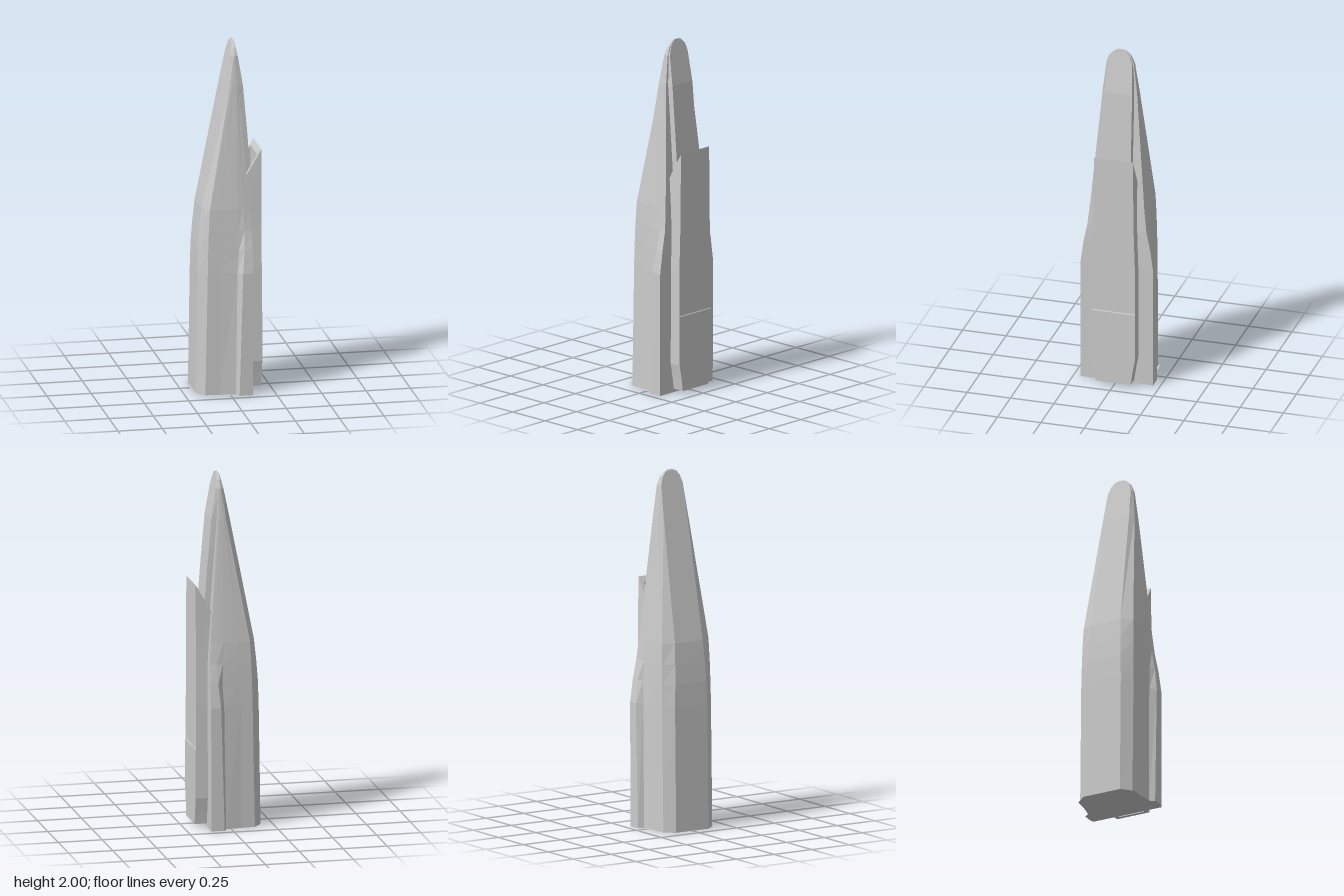
import * as THREE from 'three';

const material = new THREE.MeshStandardMaterial({ color: 0xcccccc, flatShading: true, side: THREE.DoubleSide });

// Mirrors half an outline [x, z] (running towards +x) into a closed ring.
const mirrorRing = (half) => [...half, ...half.slice().reverse().map(([x, z]) => [x, -z])];

// Skins a stack of rings of [x, y, z] points and closes the chosen ends.
function loft(name, rings, capBottom = true) {
  const n = rings[0].length;
  const index = [];
  for (let r = 0; r < rings.length - 1; r++) {
    for (let i = 0; i < n; i++) {
      const j = (i + 1) % n;
      const a = r * n + i, b = r * n + j;
      index.push(a, b, b + n, a, b + n, a + n);
    }
  }
  const cap = (r, flip) => {
    const contour = rings[r].map(([x, , z]) => new THREE.Vector2(x, -z));
    for (const [a, b, c] of THREE.ShapeUtils.triangulateShape(contour, [])) {
      const o = r * n;
      index.push(o + a, o + (flip ? c : b), o + (flip ? b : c));
    }
  };
  cap(rings.length - 1, false);
  if (capBottom) cap(0, true);
  const geometry = new THREE.BufferGeometry();
  geometry.setAttribute('position', new THREE.Float32BufferAttribute(rings.flat(2), 3));
  geometry.setIndex(index);
  const flat = geometry.toNonIndexed();
  flat.computeVertexNormals();
  const mesh = new THREE.Mesh(flat, material);
  mesh.name = name;
  return mesh;
}

// Tapering hull: chamfered front, waisted flanks, flanged back corners.
function createHull() {
  const levels = [
    [0, [[-0.183, 0.107], [-0.138, 0.162], [-0.06, 0.167], [0.03, 0.18], [0.045, 0.21], [0.12, 0.21]]],
    [0.7, [[-0.172, 0.107], [-0.125, 0.162], [-0.06, 0.166], [0.04, 0.176], [0.065, 0.21], [0.122, 0.21]]],
    [0.83, [[-0.168, 0.103], [-0.122, 0.16], [-0.058, 0.164], [0.05, 0.172], [0.077, 0.192], [0.122, 0.192]]],
    [0.94, [[-0.16, 0.098], [-0.118, 0.158], [-0.055, 0.162], [0.045, 0.168], [0.08, 0.172], [0.12, 0.17]]],
    [1.06, [[-0.148, 0.092], [-0.112, 0.154], [-0.05, 0.158], [0.04, 0.161], [0.075, 0.16], [0.113, 0.157]]],
    [1.75, [[-0.014, 0.078], [0.012, 0.099], [0.025, 0.101], [0.04, 0.101], [0.05, 0.101], [0.06, 0.099]]],
    [1.92, [[0.02, 0.071], [0.033, 0.079], [0.037, 0.081], [0.042, 0.081], [0.046, 0.081], [0.053, 0.079]]],
    [1.965, [[0.029, 0.055], [0.036, 0.061], [0.039, 0.062], [0.042, 0.062], [0.046, 0.062], [0.051, 0.061]]],
    [1.99, [[0.034, 0.035], [0.037, 0.038], [0.039, 0.038], [0.042, 0.038], [0.045, 0.038], [0.049, 0.036]]],
    [2.0, [[0.037, 0.016], [0.039, 0.018], [0.04, 0.018], [0.042, 0.018], [0.045, 0.018], [0.048, 0.016]]],
  ];
  return loft('hull', levels.map(([y, half]) => mirrorRing(half).map(([x, z]) => [x, y, z])), false);
}

// Raised panel down the back of the nose.
function createBackPanel() {
  const levels = [
    [0.95, 0.118, 0.088], [1.28, 0.129, 0.088], [1.5, 0.112, 0.087],
    [1.75, 0.09, 0.085], [1.92, 0.062, 0.077], [1.965, 0.054, 0.058], [1.99, 0.05, 0.034],
  ];
  return loft('backPanel', levels.map(([y, x, z]) =>
    mirrorRing([[0.04, z], [x, z - 0.006]]).map(([px, pz]) => [px, y, pz])));
}

// U-shaped channel along the back, with a slanted mouth and tapered foot.
function createChannel() {
  const x0 = 0.1;
  const levels = [
    // height, outer x, half width, rise of the mouth
    [0.02, 0.19, 0.1, 0], [0.1, 0.19, 0.112, 0], [0.17, 0.19, 0.125, 0], [0.45, 0.19, 0.125, 0],
    [0.455, 0.187, 0.125, 0], [0.7, 0.187, 0.125, 0], [0.95, 0.187, 0.117, 0], [1.235, 0.187, 0.112, 0.15],
  ];
  const rings = levels.map(([y, x1, w, rise]) => {
    const outer = [[x0, w], [x1, w], [x1, -w], [x0, -w]];
    const v = w - 0.022, xi = x1 - 0.019;
    const inner = [[x0, -v], [xi, -v], [xi, v], [x0, v]];
    return [...outer, ...inner].map(([x, z]) => [x, y + rise * (x - x0) / (x1 - x0), z]);
  });
  return loft('channel', rings);
}

// Thin base plate standing slightly proud of the hull.
function createBasePlate() {
  const half = [[-0.194, 0.114], [-0.14, 0.172], [-0.066, 0.177], [0.02, 0.192], [0.04, 0.221], [0.1, 0.219], [0.122, 0.211]];
  const shape = new THREE.Shape(mirrorRing(half).map(([x, z]) => new THREE.Vector2(x, -z)));
  const plate = new THREE.Mesh(new THREE.ShapeGeometry(shape).rotateX(-Math.PI / 2), material);
  plate.name = 'basePlate';
  return plate;
}

export function createModel() {
  const model = new THREE.Group();
  model.name = 'taperedPod';
  model.add(createHull(), createBackPanel(), createChannel(), createBasePlate());
  return model;
}
